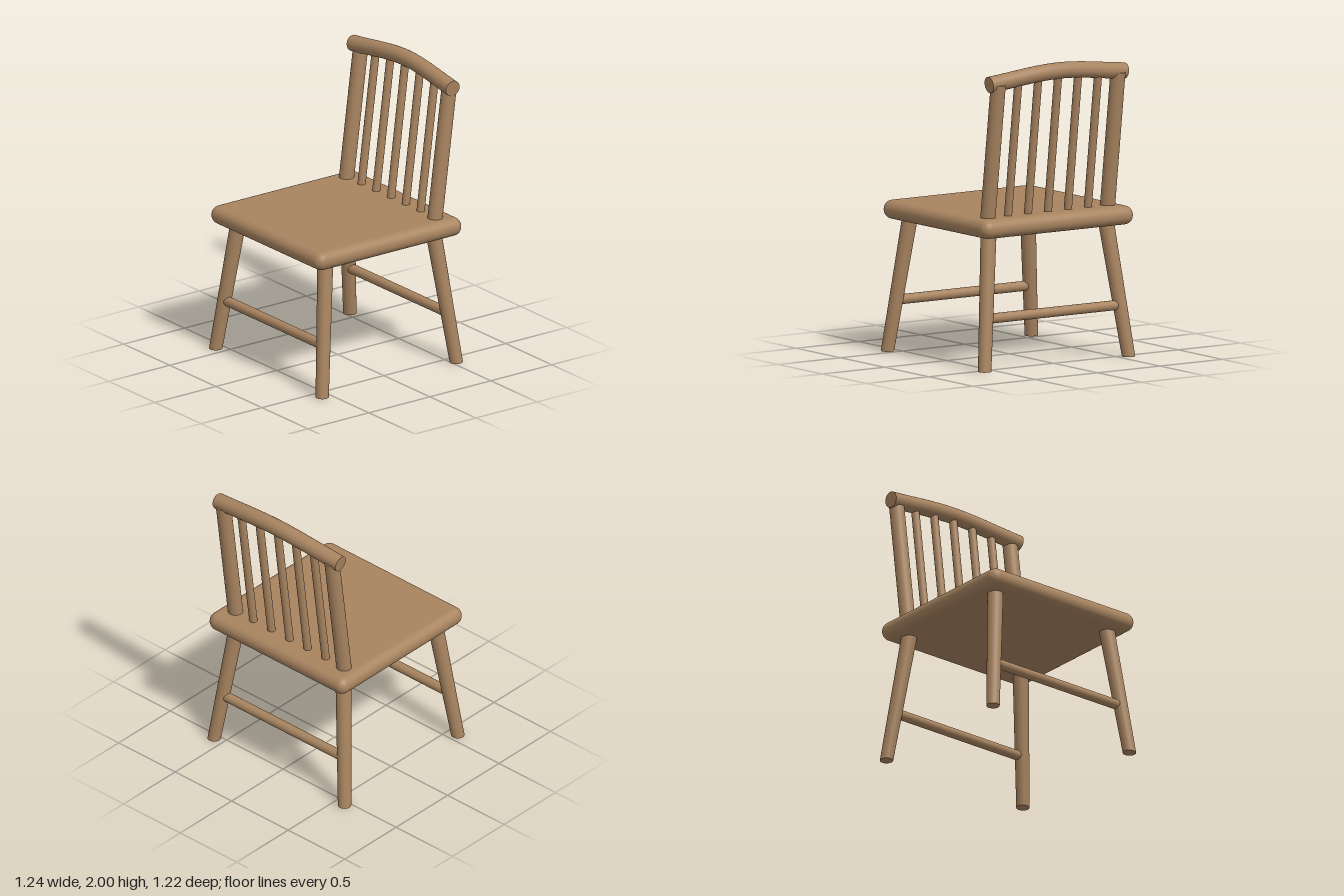
import * as THREE from 'three';
import { RoundedBoxGeometry } from 'three/addons/geometries/RoundedBoxGeometry.js';

export function createModel() {
  const group = new THREE.Group();
  const wood = new THREE.MeshStandardMaterial({ color: 0xa88460 });
  wood.name = 'wood';

  const add = (name, geometry) => {
    const mesh = new THREE.Mesh(geometry, wood);
    mesh.name = name;
    group.add(mesh);
    return mesh;
  };

  // Round rod between two points, with its own radius at each end
  const rod = (name, a, b, ra, rb = ra, sides = 24) => {
    const start = new THREE.Vector3(...a), end = new THREE.Vector3(...b);
    const dir = end.clone().sub(start);
    const mesh = add(name, new THREE.CylinderGeometry(rb, ra, dir.length(), sides));
    mesh.position.copy(start).add(end).multiplyScalar(0.5);
    mesh.quaternion.setFromUnitVectors(new THREE.Vector3(0, 1, 0), dir.normalize());
    return mesh;
  };

  // Seat slab with fully rounded edges
  add('seat', new RoundedBoxGeometry(1.21, 0.125, 1.195, 6, 0.061)).position.set(0, 0.9375, 0.011);

  // Splayed tapered legs, sheared so the feet stay flat on the floor
  const midZ = 0.014, legHeight = 0.94, splay = 0.119;
  const footX = 0.577, footZ = 0.55;
  for (const sx of [-1, 1]) for (const sz of [-1, 1]) {
    const leg = new THREE.CylinderGeometry(0.053, 0.044, legHeight, 24);
    leg.translate(0, legHeight / 2, 0);
    leg.applyMatrix4(new THREE.Matrix4().set(
      1, -sx * splay, 0, sx * footX,
      0, 1, 0, 0,
      0, -sz * splay, 1, midZ + sz * footZ,
      0, 0, 0, 1));
    add((sz > 0 ? 'front' : 'back') + (sx > 0 ? 'LeftLeg' : 'RightLeg'), leg);
  }

  // Stretchers joining the leg centres at the front and back
  const railY = 0.34;
  for (const sz of [-1, 1]) {
    const x = footX - splay * railY, z = midZ + sz * (footZ - splay * railY);
    rod(sz > 0 ? 'frontStretcher' : 'backStretcher', [-x, railY, z], [x, railY, z], 0.033);
  }

  // Leaning back posts and spindles
  for (const sx of [-1, 1]) {
    rod(sx > 0 ? 'leftPost' : 'rightPost',
      [sx * 0.48, 0.94, -0.428], [sx * 0.48, 1.895, -0.553], 0.05);
  }
  for (let i = -2; i <= 2; i++) {
    const x = i * 0.16;
    rod('spindle', [x, 0.94, -0.43], [x, 1.94 - Math.abs(i) * 0.012, -0.557], 0.027, 0.027, 16);
  }

  // Bowed crest rail with flat end caps
  const curve = new THREE.CatmullRomCurve3([
    new THREE.Vector3(-0.541, 1.895, -0.535),
    new THREE.Vector3(0, 1.946, -0.559),
    new THREE.Vector3(0.541, 1.895, -0.535),
  ]);
  const crestRadius = 0.054;
  add('crestRail', new THREE.TubeGeometry(curve, 40, crestRadius, 24));
  for (const t of [0, 1]) {
    const cap = add('crestRailEnd', new THREE.CircleGeometry(crestRadius, 24));
    cap.position.copy(curve.getPointAt(t));
    const outward = curve.getTangentAt(t).multiplyScalar(t ? 1 : -1);
    cap.quaternion.setFromUnitVectors(new THREE.Vector3(0, 0, 1), outward);
  }

  return group;
}
